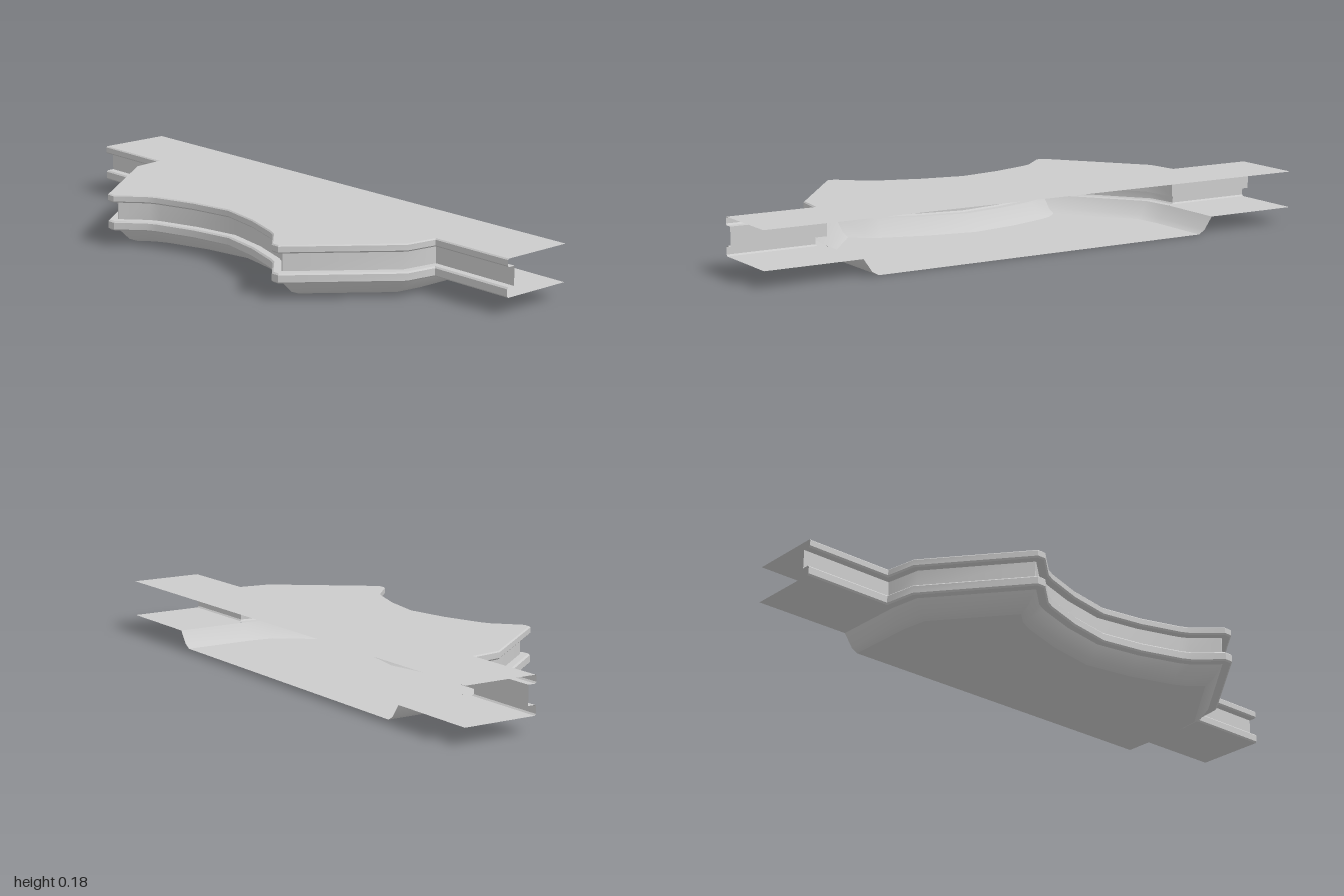
import * as THREE from 'three';
import { toCreasedNormals } from 'three/addons/utils/BufferGeometryUtils.js';

const BACK = -0.341;
const material = new THREE.MeshStandardMaterial({ color: 0xcccccc, side: THREE.DoubleSide });

// Mirror a half outline (left end to centre, last point on x = 0)
const mirror = half => [...half, ...half.slice(0, -1).reverse().map(([x, z]) => [-x, z])];

// Move an outline inward by d, with mitred corners
function inset(path, d) {
  const normals = path.slice(1).map(([x, z], i) => {
    const dx = x - path[i][0], dz = z - path[i][1], l = Math.hypot(dx, dz);
    return [dz / l, -dx / l];
  });
  return path.map(([x, z], i) => {
    const a = normals[Math.max(i - 1, 0)], b = normals[Math.min(i, normals.length - 1)];
    const k = d / (1 + a[0] * b[0] + a[1] * b[1]);
    return [x + (a[0] + b[0]) * k, z + (a[1] + b[1]) * k];
  });
}

// Sweep a profile of [inset, y] points, listed from top to bottom, along an outline
function sweep(path, profile) {
  const rows = profile.map(([d, y]) => inset(path, d).map(([x, z]) => [x, y, z]));
  const pos = [];
  for (let j = 0; j < rows.length - 1; j++) {
    for (let i = 0; i < path.length - 1; i++) {
      const a = rows[j][i], b = rows[j][i + 1], c = rows[j + 1][i], d = rows[j + 1][i + 1];
      pos.push(...a, ...c, ...b, ...b, ...c, ...d);
    }
  }
  const geometry = new THREE.BufferGeometry();
  geometry.setAttribute('position', new THREE.Float32BufferAttribute(pos, 3));
  return toCreasedNormals(geometry, 0.6);
}

// Flat sheet bounded by [x, z] points, facing up or down
function sheet(points, y, up) {
  const s = up ? -1 : 1;
  const shape = new THREE.Shape(points.map(([x, z]) => new THREE.Vector2(x, s * z)));
  return new THREE.ShapeGeometry(shape).rotateX(s * Math.PI / 2).translate(0, y, 0);
}

export function createModel() {
  const group = new THREE.Group();
  const add = (name, geometry) => {
    const mesh = new THREE.Mesh(geometry, material);
    mesh.name = name;
    group.add(mesh);
  };

  // Front edge: straight wings, slanted flanks, blunt tips and a shallow arch
  const arch = [[-0.32, 0.264], [-0.289, 0.248], [-0.15, 0.203], [0, 0.176]];
  const rim = mirror([[-1, -0.081], [-0.695, -0.081], [-0.68, 0.027],
    [-0.433, 0.341], [-0.403, 0.341], ...arch]);

  // Two lips with a groove between them
  const rimProfile = [[0.004, 0.18], [0, 0.176], [0, 0.158], [0.005, 0.153], [0.03, 0.153],
    [0.03, 0.089], [0.005, 0.089], [0, 0.084], [0, 0.061], [0.005, 0.056], [0.031, 0.056]];
  add('groovedRim', sweep(rim, rimProfile));

  // Top deck
  add('topDeck', sheet([...inset(rim, 0.004), [1, BACK], [-1, BACK]], 0.18, true));

  // Bevelled tub, open at the back
  const tubEdge = mirror([[-0.695, BACK], [-0.695, -0.09], [-0.68, 0.027], [-0.419, 0.357], ...arch]);
  add('tubWall', sweep(tubEdge, [[0.03, 0.056], [0.06, 0.013], [0.082, 0]]));
  add('tubFloor', sheet(inset(tubEdge, 0.082), 0, false));

  // Lower plates of the wings
  for (const s of [-1, 1]) {
    const x0 = Math.min(s, s * 0.665), x1 = Math.max(s, s * 0.665);
    add(s > 0 ? 'leftWingPlate' : 'rightWingPlate',
      sheet([[x0, BACK], [x1, BACK], [x1, -0.112], [x0, -0.112]], 0.056, false));
  }
  return group;
}
